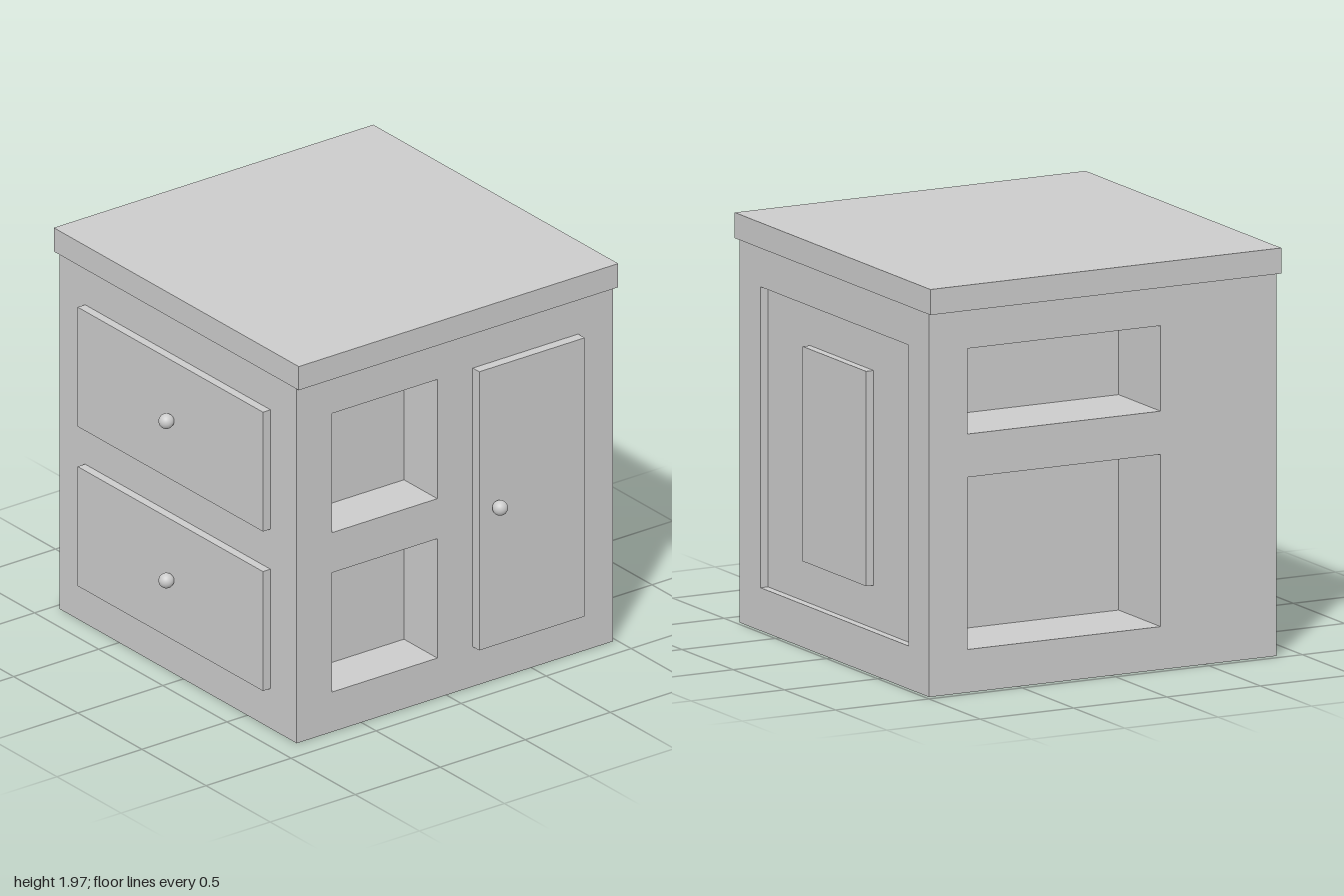
import * as THREE from 'three';

const material = new THREE.MeshStandardMaterial({ color: 0xcccccc });

function add(parent, name, geometry) {
  const mesh = new THREE.Mesh(geometry, material);
  mesh.name = name;
  parent.add(mesh);
  return mesh;
}

// Box given by its lower and upper corners
function block(parent, name, [x0, y0, z0], [x1, y1, z1]) {
  const mesh = add(parent, name, new THREE.BoxGeometry(x1 - x0, y1 - y0, z1 - z0));
  mesh.position.set((x0 + x1) / 2, (y0 + y1) / 2, (z0 + z1) / 2);
  return mesh;
}

function rect(target, [u0, v0, u1, v1]) {
  target.moveTo(u0, v0);
  target.lineTo(u1, v0);
  target.lineTo(u1, v1);
  target.lineTo(u0, v1);
  target.closePath();
  return target;
}

// Thick wall with rectangular openings, extruded along +z
function wall(parent, name, outline, openings, depth) {
  const shape = rect(new THREE.Shape(), outline);
  for (const o of openings) shape.holes.push(rect(new THREE.Path(), o));
  return add(parent, name, new THREE.ExtrudeGeometry(shape, { depth, bevelEnabled: false }));
}

function knob(parent, name, x, y, z) {
  add(parent, name, new THREE.SphereGeometry(0.037, 32, 20)).position.set(x, y, z);
}

export function createModel() {
  const group = new THREE.Group();
  group.name = 'cabinet';

  // Body extents, panel depth and niche depths
  const x0 = -0.965, x1 = 0.885, z0 = -0.98, z1 = 0.88, h = 1.845;
  const inset = 0.04, rightDepth = 0.26, leftDepth = 0.41;
  const zb = z0 + inset;

  // Solid core behind the niches
  block(group, 'core', [x0 + leftDepth, 0, zb], [x1 - rightDepth, h, z1]);

  // Side walls with open niches
  const right = wall(group, 'rightNicheWall', [zb, 0, z1, h],
    [[0.053, 0.207, 0.673, 0.827], [0.053, 1.035, 0.673, 1.654]], rightDepth);
  right.rotation.y = -Math.PI / 2;
  right.position.x = x1;

  const left = wall(group, 'leftNicheWall', [zb, 0, z1, h],
    [[-0.773, 0.207, 0.26, 1.035], [-0.773, 1.243, 0.26, 1.654]], leftDepth);
  left.rotation.y = -Math.PI / 2;
  left.position.x = x0 + leftDepth;

  // Back frame around a sunken field with a raised centre panel
  wall(group, 'backFrame', [x0, 0, x1, h], [[-0.765, 0.207, 0.68, 1.654]], inset).position.z = z0;
  block(group, 'backPanel', [-0.35, 0.414, z0], [0.27, 1.447, zb]);

  // Overhanging top
  block(group, 'top', [-1, h, -0.992], [0.91, 1.968, 0.887]);

  // Two drawers with knobs
  for (const y of [0.207, 1.035]) {
    block(group, 'drawerFront', [-0.765, y, z1], [0.68, y + 0.62, 0.924]);
    knob(group, 'drawerKnob', -0.035, y + 0.312, 0.953);
  }

  // Side door with knob
  block(group, 'door', [x1, 0.207, -0.775], [0.936, 1.654, -0.155]);
  knob(group, 'doorKnob', 0.962, 0.928, -0.258);

  return group;
}
